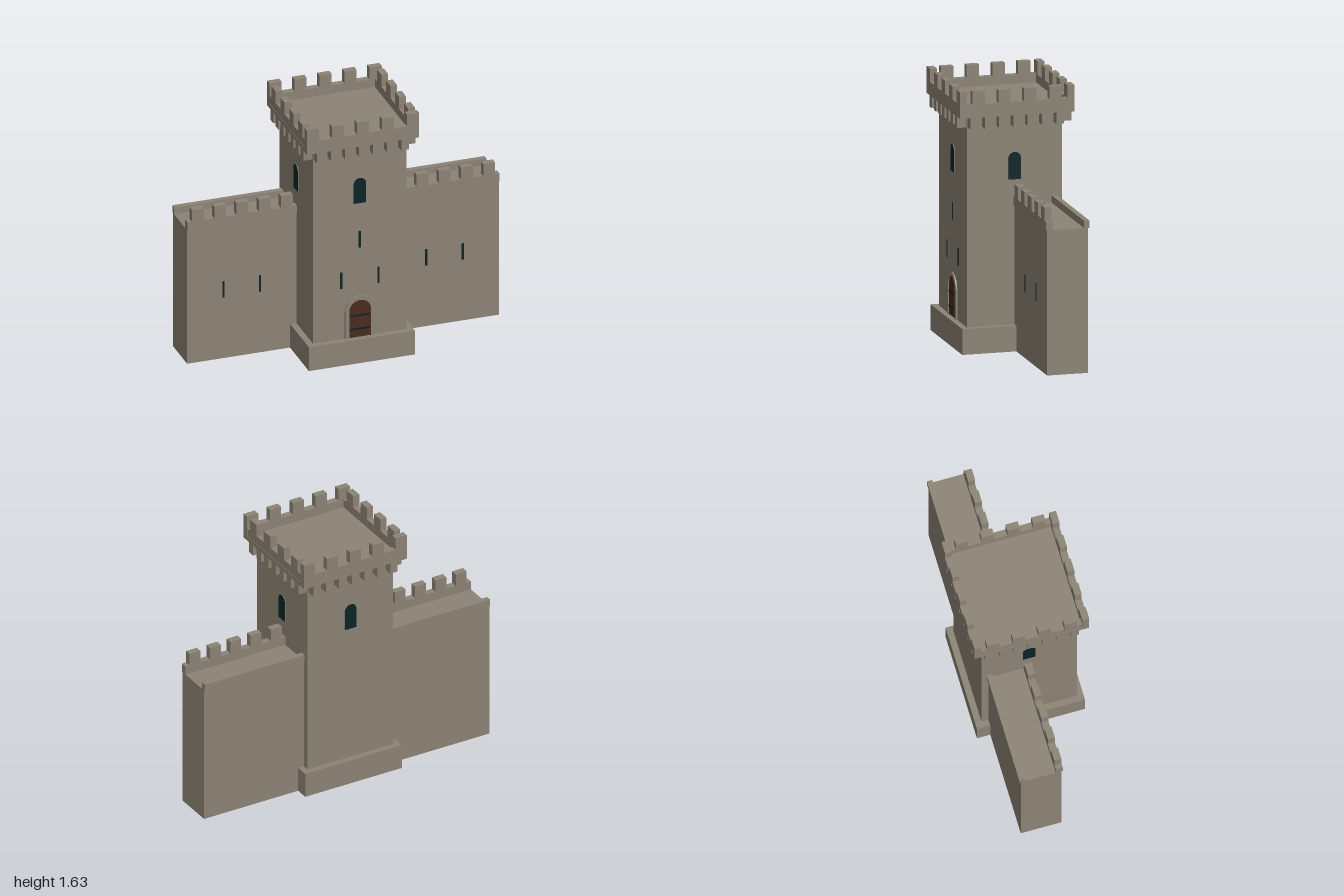
import * as THREE from 'three';

const mat = (name, color) => {
  const m = new THREE.MeshStandardMaterial({ color });
  m.name = name;
  return m;
};

export function createModel() {
  const stone = mat('stone', 0x8c8375);
  const dark = mat('dark opening', 0x0c2426);
  const wood = mat('door wood', 0x4a2a1d);
  const root = new THREE.Group();
  root.name = 'castleGate';

  // Box given by its minimum and maximum on each axis
  const box = (parent, name, material, x0, x1, y0, y1, z0, z1) => {
    const mesh = new THREE.Mesh(new THREE.BoxGeometry(x1 - x0, y1 - y0, z1 - z0), material);
    mesh.position.set((x0 + x1) / 2, (y0 + y1) / 2, (z0 + z1) / 2);
    mesh.name = name;
    parent.add(mesh);
    return mesh;
  };
  const group = (parent, name) => {
    const g = new THREE.Group();
    g.name = name;
    parent.add(g);
    return g;
  };

  // Round-topped outline standing on y = 0
  const arch = (path, r, h) => {
    path.moveTo(-r, 0);
    path.lineTo(r, 0);
    path.lineTo(r, h - r);
    path.absarc(0, h - r, r, 0, Math.PI, false);
    path.lineTo(-r, 0);
    return path;
  };
  const extrude = (parent, name, shape, depth, material, y, z) => {
    const geo = new THREE.ExtrudeGeometry(shape, { depth, bevelEnabled: false, curveSegments: 12 });
    const mesh = new THREE.Mesh(geo, material);
    mesh.position.set(0, y, z);
    mesh.name = name;
    parent.add(mesh);
  };

  // Tower shaft and plinth
  const tower = group(root, 'tower');
  box(tower, 'plinth', stone, -0.34, 0.34, 0, 0.16, -0.34, 0.34);
  box(tower, 'shaft', stone, -0.3, 0.3, 0.16, 1.47, -0.3, 0.3);
  box(tower, 'roofSlab', stone, -0.36, 0.36, 1.47, 1.5, -0.36, 0.36);

  // Four tower faces, each with a window, corbels and battlements
  for (let side = 0; side < 4; side++) {
    const face = group(tower, 'towerFace');
    face.rotation.y = side * Math.PI / 2;
    const across = side % 2 === 0;
    extrude(face, 'window', arch(new THREE.Shape(), 0.04, 0.17), 0.006, [dark, stone], 1.06, 0.298);
    for (let i = -3; i <= 3; i++) {
      box(face, 'corbel', stone, i * 0.09 - 0.025, i * 0.09 + 0.025, 1.4, 1.47, 0.295, 0.36);
    }
    const half = across ? 0.36 : 0.317;
    box(face, 'parapet', stone, -half, half, 1.5, 1.555, 0.317, across ? 0.36 : 0.358);
    const merlons = across ? [-0.321, -0.16, 0, 0.16, 0.321] : [-0.243, -0.081, 0.081, 0.243];
    for (const x of merlons) {
      box(face, 'merlon', stone, x - 0.039, x + 0.039, 1.555, 1.635, 0.317, 0.36);
    }
  }

  // Door with a raised arched surround and iron bands
  const door = group(root, 'door');
  const surround = arch(new THREE.Shape(), 0.096, 0.276);
  surround.holes.push(arch(new THREE.Path(), 0.07, 0.25));
  extrude(door, 'doorSurround', surround, 0.012, stone, 0.16, 0.298);
  extrude(door, 'doorLeaf', arch(new THREE.Shape(), 0.07, 0.25), 0.005, wood, 0.16, 0.298);
  for (const y of [0.215, 0.305]) {
    box(door, 'ironBand', dark, -0.068, 0.068, y - 0.006, y + 0.006, 0.3, 0.306);
  }

  // Arrow slits
  const slit = (parent, x, y, z) =>
    box(parent, 'arrowSlit', dark, x - 0.007, x + 0.007, y, y + 0.11, z - 0.003, z + 0.003);
  slit(tower, 0, 0.76, 0.3);
  slit(tower, -0.12, 0.5, 0.3);
  slit(tower, 0.12, 0.5, 0.3);

  // Curtain walls on both sides
  for (const s of [1, -1]) {
    const wall = group(root, s > 0 ? 'leftWall' : 'rightWall');
    const part = (name, x0, x1, ...rest) =>
      box(wall, name, stone, Math.min(s * x0, s * x1), Math.max(s * x0, s * x1), ...rest);
    part('curtainWall', 0.29, 1, 0, 0.9, -0.256, 0);
    part('frontParapet', 0.29, 1, 0.9, 0.955, -0.036, 0.008);
    part('rearParapet', 0.29, 1, 0.9, 0.945, -0.266, -0.232);
    for (let i = 0; i < 5; i++) {
      const x = 0.363 + i * 0.1425;
      part('merlon', x - 0.038, x + 0.038, 0.955, 1.035, -0.036, 0.008);
    }
    slit(wall, s * 0.533, 0.41, 0);
    slit(wall, s * 0.767, 0.41, 0);
  }
  return root;
}
